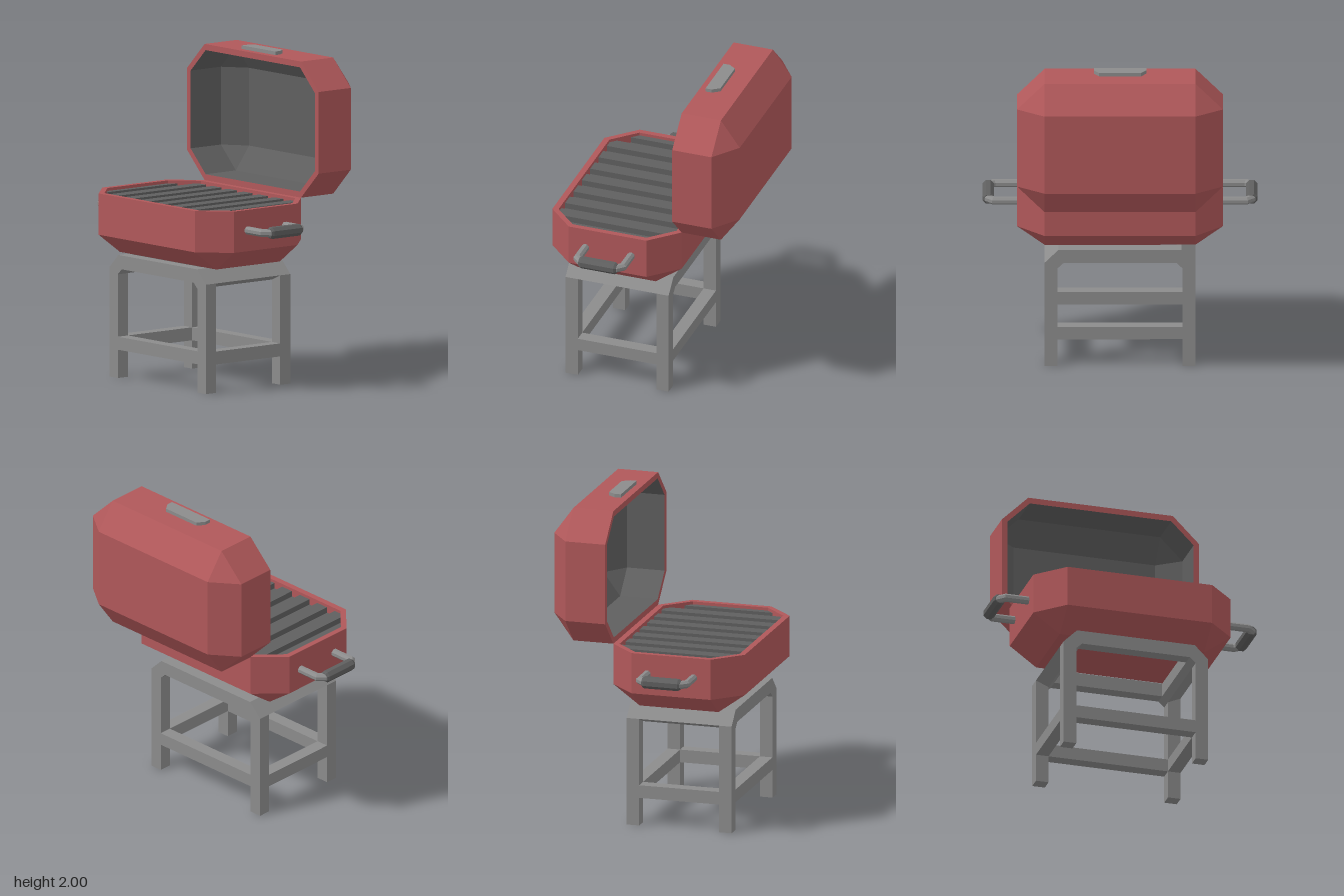
import * as THREE from 'three';

const red = new THREE.MeshStandardMaterial({ color: 0xb0585a });
red.name = 'red enamel';
const grey = new THREE.MeshStandardMaterial({ color: 0x8c8c8c });
grey.name = 'grey steel';
const dark = new THREE.MeshStandardMaterial({ color: 0x5f5f5f });
dark.name = 'dark iron';

function addMesh(parent, name, geometry, material) {
  const mesh = new THREE.Mesh(geometry, material);
  mesh.name = name;
  parent.add(mesh);
  return mesh;
}

// Joins successive rings of points with flat faces, skipping collapsed triangles
function loft(rings) {
  const pos = [];
  const tri = (a, b, c) => {
    if (new THREE.Triangle(a, b, c).getArea() > 1e-8) {
      for (const p of [a, b, c]) pos.push(p.x, p.y, p.z);
    }
  };
  for (let i = 0; i + 1 < rings.length; i++) {
    const a = rings[i], b = rings[i + 1], n = a.length;
    for (let j = 0; j < n; j++) {
      const k = (j + 1) % n;
      tri(a[j], a[k], b[k]);
      tri(a[j], b[k], b[j]);
    }
  }
  const g = new THREE.BufferGeometry();
  g.setAttribute('position', new THREE.Float32BufferAttribute(pos, 3));
  g.computeVertexNormals();
  return g;
}

// Rectangle with cut corners, lying flat at height y
function octagon(hx, hz, cut, y) {
  const x = hx - cut, z = hz - cut;
  return [[hx, -z], [hx, z], [x, hz], [-x, hz], [-hx, z], [-hx, -z], [-x, -hz], [x, -hz]]
    .map(([px, pz]) => new THREE.Vector3(px, y, pz));
}

// Hollow half shell, opening upwards at y = 0
function shell(name, liningMaterial) {
  const group = new THREE.Group();
  group.name = name;
  const rim = octagon(0.593, 0.383, 0.143, 0);
  addMesh(group, name + 'Outside', loft([
    rim,
    octagon(0.628, 0.42, 0.168, 0),
    octagon(0.628, 0.42, 0.168, -0.255),
    octagon(0.46, 0.252, 0, -0.377),
    octagon(0, 0, 0, -0.377),
  ]), red);
  addMesh(group, name + 'Lining', loft([
    octagon(0, 0, 0, -0.345),
    octagon(0.45, 0.24, 0, -0.345),
    octagon(0.593, 0.383, 0.143, -0.24),
    rim,
  ]), liningMaterial);
  return group;
}

// Eight-sided bar along a path in the xz plane with mitred corners; stops are [x, z, apothem]
function bar(stops) {
  const pts = stops.map(([x, z]) => new THREE.Vector3(x, 0, z));
  const last = pts.length - 1;
  const rings = pts.map((p, i) => {
    const before = pts[i].clone().sub(pts[Math.max(i - 1, 0)]).normalize();
    const after = pts[Math.min(i + 1, last)].clone().sub(pts[i]).normalize();
    const t = before.clone().add(after).normalize();
    const miter = 1 / t.dot(i < last ? after : before);
    const r = stops[i][2] / Math.cos(Math.PI / 8);
    return Array.from({ length: 8 }, (_, k) => {
      const a = (k + 0.5) * Math.PI / 4;
      const side = Math.cos(a) * r * miter;
      return new THREE.Vector3(p.x + t.z * side, Math.sin(a) * r, p.z - t.x * side);
    });
  });
  const cap = (p) => Array.from({ length: 8 }, () => p);
  return loft([cap(pts[0]), ...rings, cap(pts[last])]);
}

function polygon(points) {
  return new THREE.Shape(points.map(([x, y]) => new THREE.Vector2(x, y)));
}

function extrude(points, depth) {
  return new THREE.ExtrudeGeometry(polygon(points), { depth, bevelEnabled: false });
}

// Extruded plan outline standing up from y = 0
function slab(points, height) {
  return extrude(points, height).rotateX(-Math.PI / 2);
}

function makeGrate() {
  const grate = new THREE.Group();
  grate.name = 'grate';
  const base = octagon(0.593, 0.383, 0.143, 0).map((p) => [p.x, -p.z]);
  addMesh(grate, 'grateBase', slab(base, 0.015), dark);
  const reach = (x) => 0.382 - Math.max(0, Math.abs(x) - 0.45);
  // Ridges follow the cut corners of the bowl
  for (let i = -4; i <= 4; i++) {
    const x0 = Math.max(i * 0.148 - 0.041, -0.592);
    const x1 = Math.min(i * 0.148 + 0.041, 0.592);
    const xs = [x0, x1];
    if (Math.abs(i) === 3) xs.splice(1, 0, Math.sign(i) * 0.45);
    const outline = [
      ...xs.map((x) => [x, -reach(x)]),
      ...xs.slice().reverse().map((x) => [x, reach(x)]),
    ];
    addMesh(grate, 'grateRidge', slab(outline, 0.04).translate(0, 0.012, 0), dark);
  }
  return grate;
}

function makeStand() {
  const stand = new THREE.Group();
  stand.name = 'stand';
  const half = [[0.46, 0], [0.46, 0.675], [0.375, 0.76]];
  const inner = [[0.343, 0.675], [0.38, 0.64], [0.38, 0]];
  const mirror = (list) => list.map(([x, y]) => [-x, y]).reverse();
  const arch = [...half, ...mirror(half), ...mirror(inner), ...inner];
  // Front and back leg frames
  for (const z of [0.445, -0.145]) {
    addMesh(stand, 'legFrame', extrude(arch, 0.08), grey).position.z = z;
    addMesh(stand, 'crossBar', new THREE.BoxGeometry(0.76, 0.08, 0.08), grey)
      .position.set(0, 0.215, z + 0.04);
  }
  // Side rails joining the frames
  const corner = [[0.46, 0.675], [0.375, 0.76], [0.343, 0.76], [0.343, 0.675], [0.38, 0.64]];
  for (const s of [-1, 1]) {
    const rail = s > 0 ? corner : mirror(corner);
    addMesh(stand, 'topRail', extrude(rail, 0.51), grey).position.z = -0.065;
    addMesh(stand, 'sideBar', new THREE.BoxGeometry(0.08, 0.08, 0.51), grey)
      .position.set(s * 0.42, 0.215, 0.19);
  }
  return stand;
}

function makeHandle(name) {
  const handle = new THREE.Group();
  handle.name = name;
  const r = 0.023;
  addMesh(handle, name + 'Bar', bar([
    [0.61, -0.148, r], [0.77, -0.148, r], [0.803, -0.115, r],
    [0.803, 0.115, r], [0.77, 0.148, r], [0.61, 0.148, r],
  ]), grey);
  addMesh(handle, name + 'Grip', bar([
    [0.803, -0.122, 0.027], [0.803, -0.108, 0.035],
    [0.803, 0.108, 0.035], [0.803, 0.122, 0.027],
  ]), dark);
  return handle;
}

export function createModel() {
  const model = new THREE.Group();
  model.name = 'grill';
  model.add(makeStand());

  // Bowl with its ridged cooking grate
  const bowl = shell('bowl', red);
  bowl.position.set(0, 1.138, 0.19);
  const grate = makeGrate();
  grate.position.y = -0.07;
  bowl.add(grate);
  model.add(bowl);

  // Open lid, standing upright behind the bowl
  const lid = shell('lid', dark);
  lid.position.set(0, 1.558, -0.23);
  lid.rotation.x = Math.PI / 2;
  model.add(lid);

  // Lid pull
  const pull = [[-0.16, 0.275], [0.16, 0.275], [0.16, 0.315], [0.128, 0.36], [-0.128, 0.36], [-0.16, 0.315]];
  addMesh(model, 'lidPull', slab(pull, 0.03), grey).position.y = 1.97;

  // Side handles
  for (const [name, turn] of [['leftHandle', 0], ['rightHandle', Math.PI]]) {
    const handle = makeHandle(name);
    handle.position.set(0, 1.012, 0.185);
    handle.rotation.y = turn;
    model.add(handle);
  }
  return model;
}
